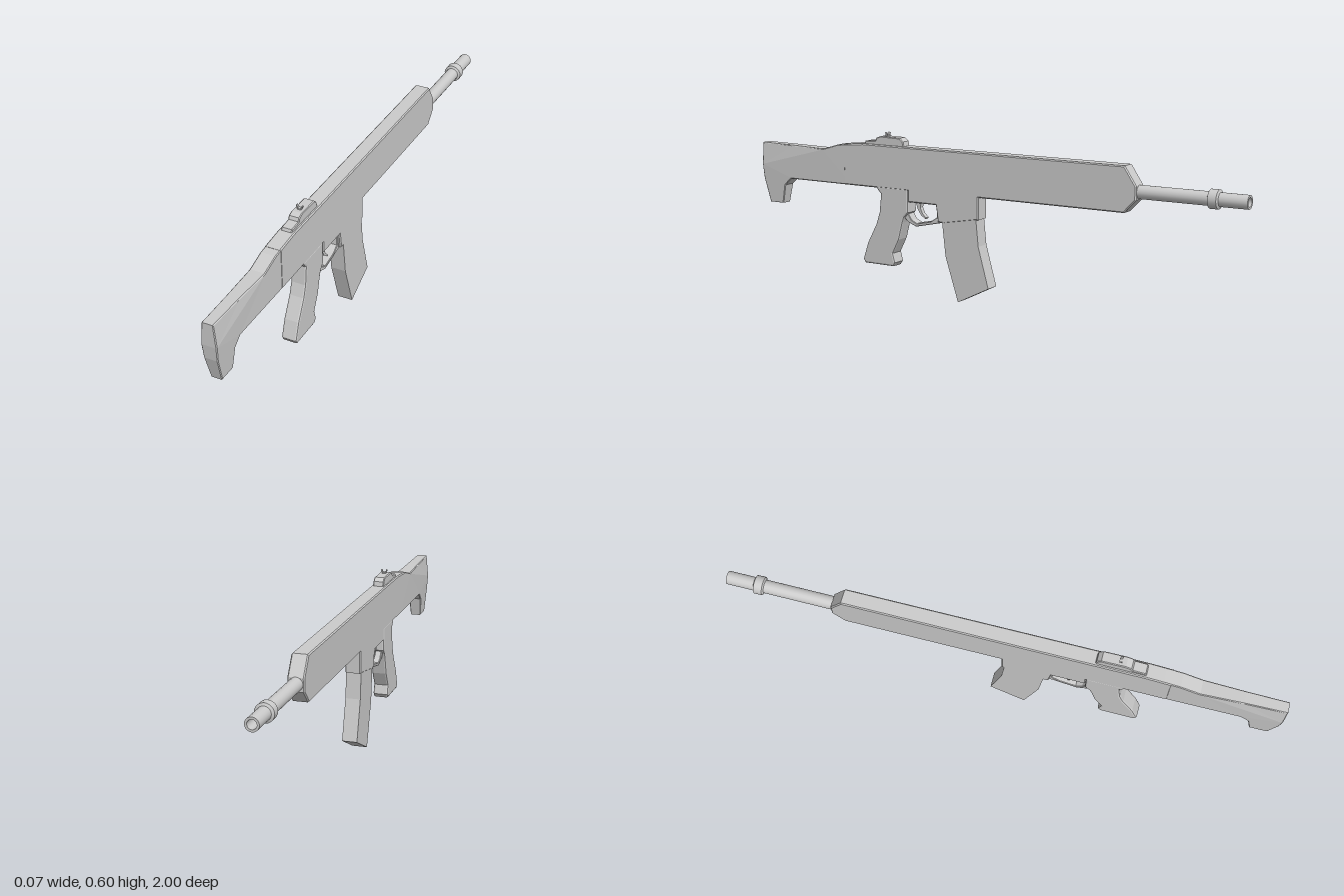
import * as THREE from 'three';

const mat = new THREE.MeshStandardMaterial({ color: 0xcccccc, side: THREE.DoubleSide });

// Side profile in [z, y] pairs, extruded symmetrically across x with bevelled edges.
function slab(name, points, halfWidth, bevel = 0, segments = 1, hole = null) {
  const toVec = ([z, y]) => new THREE.Vector2(z, y);
  const shape = new THREE.Shape(points.map(toVec));
  if (hole) shape.holes.push(new THREE.Path(hole.map(toVec)));
  const depth = 2 * (halfWidth - bevel);
  const geo = new THREE.ExtrudeGeometry(shape, {
    depth, bevelEnabled: bevel > 0, bevelSize: bevel, bevelThickness: bevel,
    bevelOffset: -bevel, bevelSegments: segments,
  });
  geo.translate(0, 0, -depth / 2);
  geo.rotateY(-Math.PI / 2);
  const mesh = new THREE.Mesh(geo, mat);
  mesh.name = name;
  return mesh;
}

function createStock() {
  const stock = slab('stock', [
    [0.56, 0.392], [0.86, 0.392], [0.89, 0.365], [0.905, 0.292], [0.97, 0.292],
    [0.995, 0.385], [1, 0.44], [1, 0.525], [0.85, 0.523], [0.7, 0.52], [0.63, 0.541], [0.56, 0.548],
  ], 0.028, 0.003);
  // Narrow the top edge and the hook towards the butt.
  const p = stock.geometry.attributes.position;
  for (let i = 0; i < p.count; i++) {
    const y = p.getY(i);
    const along = THREE.MathUtils.clamp((p.getZ(i) - 0.7) / 0.22, 0, 1);
    const away = y > 0.44 ? (y - 0.44) / 0.085 : (0.44 - y) / 0.15;
    p.setX(i, p.getX(i) * (1 - 0.28 * along * Math.min(away, 1)));
  }
  stock.geometry.computeVertexNormals();
  return stock;
}

function createBarrel() {
  // [radius, distance towards the muzzle], ending inside the bore
  const profile = [
    [0.024, 0.55], [0.024, 0.862], [0.033, 0.866], [0.033, 0.896], [0.024, 0.9],
    [0.024, 1], [0.016, 1], [0.016, 0.92], [0, 0.92],
  ];
  const group = new THREE.Group();
  group.name = 'barrel';
  // One lathe per segment keeps the steps crisp and the round sides smooth.
  for (let i = 0; i < profile.length - 1; i++) {
    const geo = new THREE.LatheGeometry([profile[i], profile[i + 1]].map(([r, y]) => new THREE.Vector2(r, y)), 20);
    geo.rotateX(-Math.PI / 2);
    geo.translate(0, 0.465, 0);
    const mesh = new THREE.Mesh(geo, mat);
    mesh.name = 'barrelSection';
    group.add(mesh);
  }
  return group;
}

function createSight() {
  const group = new THREE.Group();
  group.name = 'rearSight';
  group.add(slab('sightBase', [
    [0.33, 0.545], [0.335, 0.57], [0.35, 0.583], [0.435, 0.585], [0.455, 0.578], [0.46, 0.566],
    [0.505, 0.563], [0.512, 0.545],
  ], 0.02, 0.003));
  // Notch blade made of two outward leaning prongs on a small foot
  const foot = new THREE.Mesh(new THREE.BoxGeometry(0.014, 0.006, 0.012), mat);
  foot.position.set(0, 0.586, 0.415);
  foot.name = 'sightFoot';
  group.add(foot);
  for (const side of [-1, 1]) {
    const prong = new THREE.Mesh(new THREE.BoxGeometry(0.004, 0.015, 0.008), mat);
    prong.position.set(side * 0.008, 0.592, 0.415);
    prong.rotation.z = -side * 0.35;
    prong.name = 'sightProng';
    group.add(prong);
  }
  return group;
}

export function createModel() {
  const model = new THREE.Group();
  model.name = 'rifle';

  // Receiver and handguard, with the magazine well below
  model.add(slab('body', [
    [0.6, 0.392], [0.31, 0.392], [0.31, 0.35], [0.187, 0.35], [0.178, 0.288], [0.15, 0.286],
    [0.005, 0.312], [0.005, 0.393], [-0.568, 0.393], [-0.612, 0.44], [-0.612, 0.487],
    [-0.568, 0.553], [0.51, 0.553], [0.57, 0.548], [0.6, 0.545],
  ], 0.029, 0.004));
  model.add(createStock());
  model.add(createBarrel());
  model.add(createSight());

  // Pistol grip with softened edges
  model.add(slab('grip', [
    [0.31, 0.4], [0.45, 0.4], [0.447, 0.385], [0.432, 0.37], [0.44, 0.3], [0.455, 0.255],
    [0.495, 0.18], [0.517, 0.115], [0.508, 0.1], [0.38, 0.1], [0.37, 0.115], [0.38, 0.15],
    [0.352, 0.205], [0.335, 0.27], [0.328, 0.29], [0.31, 0.31],
  ], 0.029, 0.007, 2));

  // Curved magazine
  model.add(slab('magazine', [
    [0.16, 0.3], [0.145, 0.165], [0.092, 0], [-0.037, 0.065], [0.005, 0.215], [0.016, 0.325],
  ], 0.028));

  // Trigger guard loop
  model.add(slab('triggerGuard', [
    [0.17, 0.36], [0.17, 0.284], [0.28, 0.26], [0.312, 0.272], [0.335, 0.29], [0.335, 0.36],
  ], 0.019, 0.002, 1, [
    [0.187, 0.35], [0.31, 0.35], [0.314, 0.305], [0.3, 0.283], [0.277, 0.272], [0.215, 0.285], [0.189, 0.303],
  ]));

  // Trigger
  model.add(slab('trigger', [
    [0.262, 0.36], [0.29, 0.36], [0.279, 0.325], [0.264, 0.303], [0.245, 0.29], [0.243, 0.295],
    [0.258, 0.31], [0.267, 0.33],
  ], 0.009));
  return model;
}
